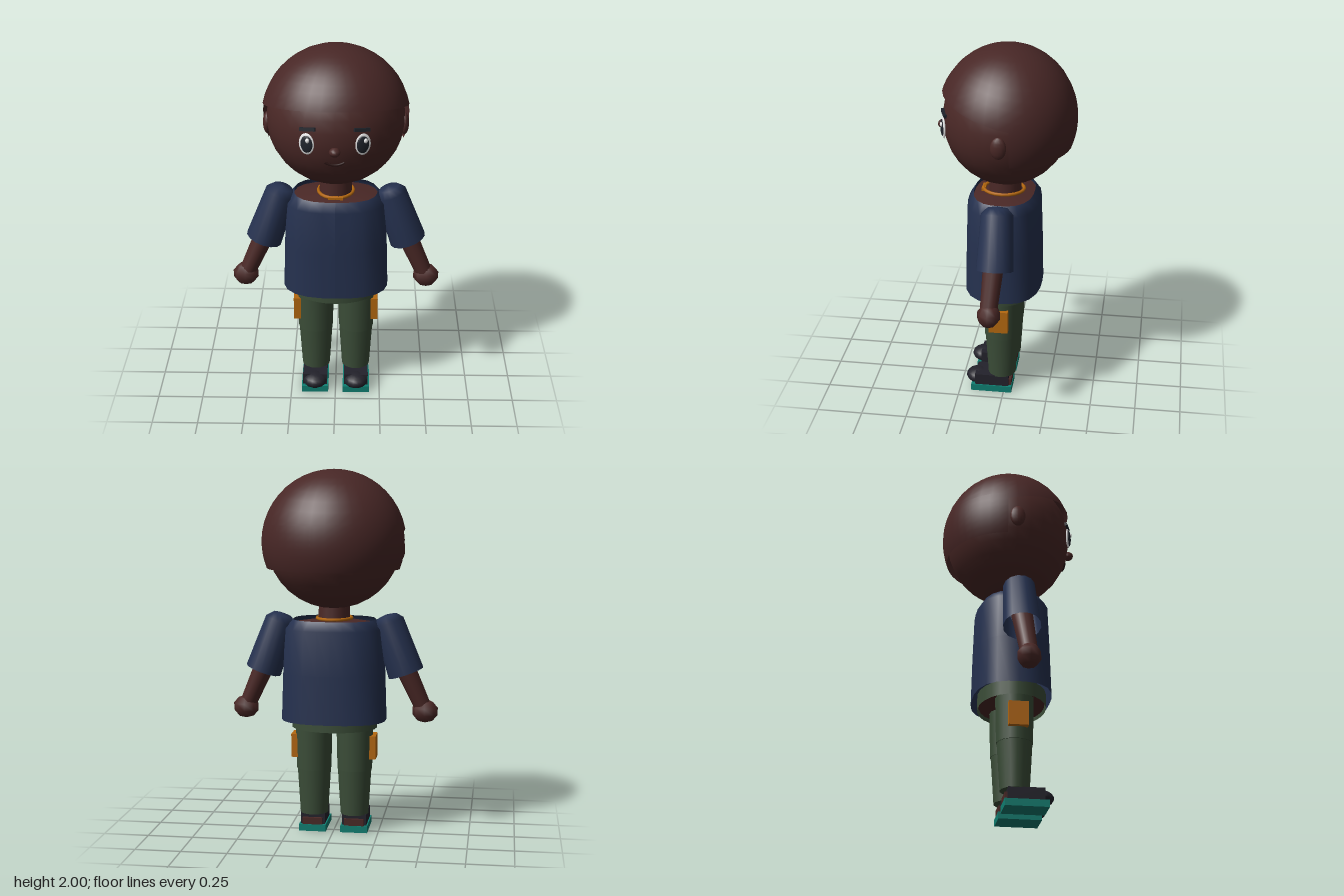
import * as THREE from 'three';

const mat = (name, color, side = THREE.FrontSide) => {
  const m = new THREE.MeshStandardMaterial({ color, side });
  m.name = name;
  return m;
};

export function createModel() {
  const D = THREE.DoubleSide;
  const skin = mat('skin brown', 0x4a2826, D);
  const hair = mat('hair brown', 0x482726, D);
  const navy = mat('shirt navy', 0x25314f, D);
  const green = mat('trouser green', 0x3b4d38, D);
  const orange = mat('orange', 0xb4680f);
  const teal = mat('sole teal', 0x0f7f72);
  const black = mat('shoe black', 0x23222b);
  const white = mat('eye white', 0xeeeeee);
  const dark = mat('mouth dark', 0x2a1413);
  const slate = mat('brow slate', 0x20242c);

  const root = new THREE.Group();
  root.name = 'figure';
  const add = (name, geo, material, x = 0, y = 0, z = 0) => {
    const m = new THREE.Mesh(geo, material);
    m.name = name;
    m.position.set(x, y, z);
    root.add(m);
    return m;
  };
  const box = (w, h, d) => new THREE.BoxGeometry(w, h, d);
  const ball = (rx, ry, rz, n = 20) =>
    new THREE.SphereGeometry(1, n, Math.ceil(n * 0.6)).scale(rx, ry, rz);
  const lathe = (pts, n = 20) =>
    new THREE.LatheGeometry(pts.map(p => new THREE.Vector2(p[0], p[1])), n);

  // Head, neck and face
  const HY = 1.61, R = [0.365, 0.36, 0.342];
  const faceZ = (x, y) => R[2] * Math.sqrt(1 - (x / R[0]) ** 2 - ((y - HY) / R[1]) ** 2);
  add('head', ball(...R, 28), skin, 0, HY, 0);
  add('neck', new THREE.CylinderGeometry(0.083, 0.09, 0.16, 16), skin, 0, 1.23, 0.012);
  add('nose', ball(0.03, 0.025, 0.03, 10), skin, 0, 1.55, 0.345);
  const smile = new THREE.QuadraticBezierCurve3(
    new THREE.Vector3(-0.05, 1.482, faceZ(0.05, 1.482)),
    new THREE.Vector3(0, 1.452, faceZ(0, 1.46) + 0.006),
    new THREE.Vector3(0.05, 1.482, faceZ(0.05, 1.482)));
  add('mouth', new THREE.TubeGeometry(smile, 10, 0.006, 6), dark);

  // Hair shells: a grid wrapped on an ellipsoid, spanned by a rule giving azimuth and polar angle
  const H = [0.392, 0.39, 0.37];
  const shell = (name, nu, nv, rule) => {
    const g = new THREE.PlaneGeometry(1, 1, nu, nv);
    const p = g.attributes.position, n = g.attributes.normal, v = new THREE.Vector3();
    for (let i = 0; i < p.count; i++) {
      const [phi, th] = rule(p.getX(i) + 0.5, p.getY(i) + 0.5);
      v.set(Math.sin(th) * Math.sin(phi), Math.cos(th), Math.sin(th) * Math.cos(phi));
      p.setXYZ(i, v.x * H[0], v.y * H[1], v.z * H[2]);
      v.set(v.x / H[0], v.y / H[1], v.z / H[2]).normalize();
      n.setXYZ(i, v.x, v.y, v.z);
    }
    return add(name, g, hair, 0, HY, 0);
  };
  // Cap ends on a plane rising towards the brow
  shell('hairCap', 32, 10, (u, v) => {
    const phi = (u * 2 - 1) * Math.PI;
    const k = 0.235 * H[2] * Math.cos(phi);
    const edge = Math.acos(0.073 / Math.hypot(H[1], k)) - Math.atan2(k, H[1]);
    return [phi, edge * (1 - v)];
  });
  // Back reaches down to the nape with upright front edges
  shell('hairBack', 20, 6, (u, v) => {
    const th = Math.acos((-0.14 + 0.24 * v) / H[1]);
    const start = Math.acos(-0.055 / (H[2] * Math.sin(th)));
    return [start + u * 2 * (Math.PI - start), th];
  });

  // Shirt with softly squared cross-section
  const squared = (geo, ax, az) => {
    const p = geo.attributes.position;
    for (let i = 0; i < p.count; i++) {
      const x = p.getX(i), z = p.getZ(i), r = Math.hypot(x, z);
      if (r < 1e-6) continue;
      const c = Math.abs(x / r), s = Math.abs(z / r);
      const k = 1 / Math.pow(c ** 2.6 + s ** 2.6, 1 / 2.6);
      p.setXYZ(i, x * k * ax, p.getY(i), z * k * az);
    }
    geo.computeVertexNormals();
    return geo;
  };
  add('shirt', squared(lathe([[1, 0.635], [0.97, 0.9], [0.93, 1.14], [0.78, 1.19]], 24), 0.288, 0.21),
    navy, 0, 0, 0.015);
  add('upperChest', squared(lathe([[0.8, 1.165], [0.4, 1.185], [0, 1.19]], 24), 0.285, 0.208),
    skin, 0, 0, 0.015);

  // Necklace
  add('necklace', new THREE.TorusGeometry(0.1, 0.009, 6, 20).rotateX(Math.PI / 2).scale(0.95, 1, 1.1),
    orange, 0, 1.195, 0.02);
  add('necklaceBar', box(0.08, 0.014, 0.02), orange, 0, 1.194, 0.128);

  // Hips
  add('waistband', new THREE.CylinderGeometry(1, 1, 0.08, 24, 1, true).scale(0.236, 1, 0.183),
    green, 0, 0.628, 0.018);
  add('hipBase', new THREE.CylinderGeometry(1, 1, 0.04, 24).scale(0.225, 1, 0.175),
    skin, 0, 0.625, 0.018);

  for (const s of [1, -1]) {
    const side = s > 0 ? 'left' : 'right';
    const part = (name, geo, material, x, y, z) =>
      add(side + name, geo, material, s * x, y, z);

    // Eye: stacked thin ovals turned to follow the face
    const ex = 0.143, ey = 1.585;
    const eye = new THREE.Group();
    eye.name = side + 'Eye';
    eye.position.set(s * ex, ey, faceZ(ex, ey) + 0.004);
    eye.rotation.y = s * 0.36;
    root.add(eye);
    const oval = (name, rx, ry, m, x, y, z) => {
      const o = new THREE.Mesh(ball(rx, ry, 0.009, 16), m);
      o.name = name;
      o.position.set(x, y, z);
      eye.add(o);
    };
    oval('eyeWhite', 0.042, 0.058, white, 0, 0, 0);
    oval('iris', 0.033, 0.046, slate, -s * 0.003, 0, 0.006);
    oval('glint', 0.011, 0.013, white, 0.01, 0.022, 0.012);
    const brow = part('Brow', box(0.085, 0.018, 0.018), slate, 0.137, 1.662, faceZ(0.137, 1.662));
    brow.rotation.set(-0.15, s * 0.38, -s * 0.05);
    part('Ear', ball(0.024, 0.06, 0.042, 14), skin, 0.362, 1.575, 0);

    // Sleeve, arm and hand
    const sleeve = part('Sleeve',
      lathe([[0.1, -0.15], [0.086, 0.145], [0.055, 0.178], [0, 0.188]], 14), navy, 0.345, 1.04, 0.015);
    sleeve.rotation.z = s * 0.34;
    const arm = part('Arm', new THREE.CylinderGeometry(0.058, 0.045, 0.34, 12), skin, 0.433, 0.83, 0.028);
    arm.rotation.set(-0.06, 0, s * 0.42);
    part('Hand', ball(0.073, 0.064, 0.064, 8), skin, 0.5, 0.685, 0.033);

    // Trouser leg in two sections, with a side pocket
    part('Thigh', new THREE.CylinderGeometry(0.103, 0.097, 0.255, 16), green, 0.114, 0.482, 0.017);
    part('Shin', new THREE.CylinderGeometry(0.094, 0.078, 0.255, 16), green, 0.113, 0.227, 0.017);
    part('Pocket', box(0.04, 0.13, 0.105), orange, 0.215, 0.483, 0.022);

    // Shoe: sole, upper, rounded toe and bare heel
    part('Sole', box(0.15, 0.038, 0.23), teal, 0.116, 0.019, 0.07);
    part('ShoeUpper', box(0.136, 0.065, 0.19), black, 0.116, 0.07, 0.068);
    part('Toe', ball(0.068, 0.042, 0.07, 14), black, 0.116, 0.064, 0.15);
    part('Heel', box(0.11, 0.04, 0.03), skin, 0.116, 0.056, -0.027);
  }
  return root;
}
